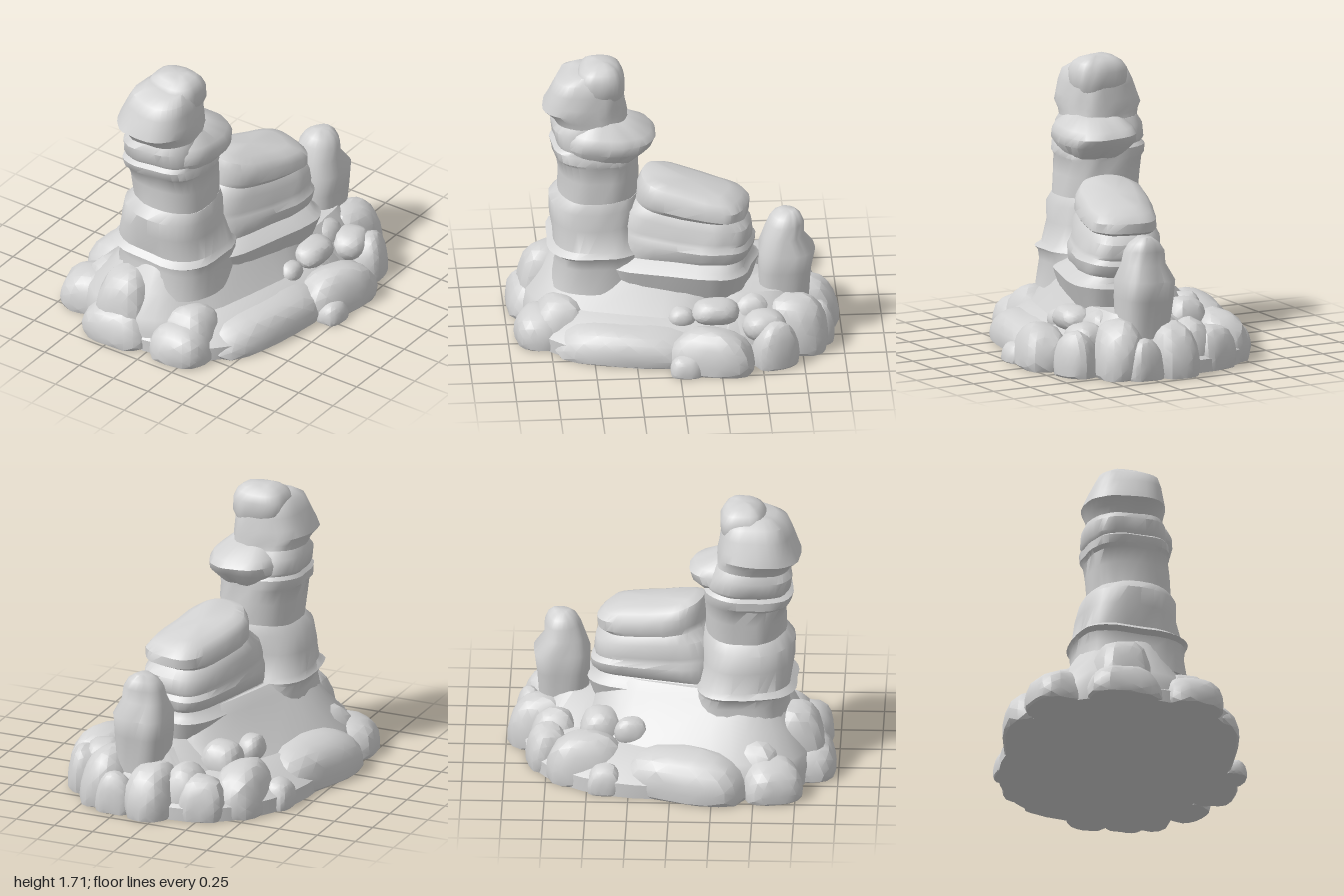
import * as THREE from 'three';
import { toCreasedNormals } from 'three/addons/utils/BufferGeometryUtils.js';

const stone = new THREE.MeshStandardMaterial({ color: 0xd2d2d2 });
stone.name = 'stone';

const signedPow = (v, p) => Math.sign(v) * Math.abs(v) ** p;
// Smooth, repeatable unevenness
const rough = (x, y, z) =>
  0.5 * Math.sin(5 * x + 5 * y + 1.3) + 0.5 * Math.sin(4 * z - 7 * y + 3 * x) + 0.25 * Math.sin(9 * z + 8 * x + 11 * y);

function addRock(group, name, geometry, crease = 0.7) {
  const mesh = new THREE.Mesh(toCreasedNormals(geometry, crease), stone);
  mesh.name = name;
  group.add(mesh);
  return mesh;
}

// Stacked rounded-box rings; each row is [y, xMin, xMax, zMin, zMax]
function strata(rows, power = 2.8, bump = 0.01, slopeAt = () => 0) {
  const sides = 32, pos = [], index = [];
  for (const [y, x0, x1, z0, z1] of rows) {
    for (let j = 0; j < sides; j++) {
      const t = (j / sides) * Math.PI * 2;
      const c = signedPow(Math.cos(t), 2 / power), s = signedPow(Math.sin(t), 2 / power);
      const n = bump * rough(c, y * 1.5, s);
      const z = (z0 + z1) / 2 + s * ((z1 - z0) / 2 + n);
      const lift = y > 0.02 ? slopeAt(y) * z + bump * 0.8 * Math.sin(t * 2 + y * 5) : 0;
      pos.push((x0 + x1) / 2 + c * ((x1 - x0) / 2 + n), y + lift, z);
    }
  }
  const last = (rows.length - 1) * sides;
  for (let i = 0; i < rows.length - 1; i++)
    for (let j = 0; j < sides; j++) {
      const a = i * sides + j, b = i * sides + (j + 1) % sides;
      index.push(a, a + sides, b, b, a + sides, b + sides);
    }
  for (const [y, x0, x1, z0, z1] of [rows[0], rows[rows.length - 1]]) {
    const zc = (z0 + z1) / 2;
    pos.push((x0 + x1) / 2, y + slopeAt(y) * zc, zc);
  }
  const bottom = rows.length * sides;
  for (let j = 0; j < sides; j++) {
    const k = (j + 1) % sides;
    index.push(bottom, j, k, bottom + 1, last + k, last + j);
  }
  const g = new THREE.BufferGeometry();
  g.setAttribute('position', new THREE.Float32BufferAttribute(pos, 3));
  g.setIndex(index);
  return g;
}

// Chunky boulder, narrower upwards and flattened where it meets the ground
function boulder(x, z, rx, rz, top, turn = 0, low = -0.5 * top) {
  const g = new THREE.IcosahedronGeometry(1, 3), p = g.attributes.position;
  const cy = (low + top) / 2, ry = (top - low) / 2;
  const v = new THREE.Vector3();
  for (let i = 0; i < p.count; i++) {
    v.fromBufferAttribute(p, i);
    const l = (Math.abs(v.x) ** 2.6 + Math.abs(v.y) ** 2.6 + Math.abs(v.z) ** 2.6) ** (-1 / 2.6);
    const k = l * (1 + 0.04 * rough(v.x + x * 3, v.y * 0.4, v.z + z * 3));
    const taper = 1 - 0.14 * Math.max(0, v.y);
    const a = v.x * rx * k * taper, b = v.z * rz * k * taper;
    p.setXYZ(i, x + a * Math.cos(turn) + b * Math.sin(turn),
      Math.max(0, cy + v.y * ry * k), z - a * Math.sin(turn) + b * Math.cos(turn));
  }
  return g;
}

export function createModel() {
  const model = new THREE.Group();
  model.name = 'rockFormation';

  // Ground the boulders sit in
  addRock(model, 'groundSlab', strata([
    [0, -0.7, 0.64, -0.88, 0.9], [0.08, -0.7, 0.64, -0.88, 0.9], [0.22, -0.5, 0.42, -0.7, 0.74],
  ], 2.3));
  addRock(model, 'backMound', strata([
    [0, -0.3, 0.55, -0.88, -0.1], [0.15, -0.28, 0.53, -0.86, -0.1], [0.35, -0.02, 0.36, -0.72, -0.1],
  ], 2.5));

  // Sloping foot shared by the tower and the ridge
  const skirt = addRock(model, 'slopingFoot', strata([
    [0, -0.6, 0.5, -0.72, 0.76], [0.12, -0.58, 0.48, -0.7, 0.76], [0.2, -0.53, 0.43, -0.67, 0.74],
    [0.34, -0.38, 0.33, -0.62, 0.64], [0.47, -0.29, 0.27, -0.58, 0.57], [0.53, -0.23, 0.23, -0.54, 0.52],
  ]));
  skirt.position.set(-0.04, 0, 0.15);
  skirt.rotation.y = -0.3;

  // Long layered ridge whose layers tilt more towards the top
  const ridge = addRock(model, 'layeredRidge', strata([
    [0.3, -0.27, 0.25, -0.42, 0.42], [0.47, -0.31, 0.31, -0.46, 0.42], [0.495, -0.28, 0.28, -0.43, 0.4],
    [0.53, -0.25, 0.23, -0.42, 0.36], [0.56, -0.27, 0.24, -0.44, 0.34], [0.62, -0.28, 0.25, -0.45, 0.34],
    [0.655, -0.26, 0.23, -0.43, 0.34], [0.68, -0.26, 0.22, -0.44, 0.34], [0.77, -0.26, 0.21, -0.43, 0.31],
    [0.82, -0.23, 0.18, -0.38, 0.25], [0.85, -0.24, 0.2, -0.42, 0.24], [0.92, -0.24, 0.19, -0.42, 0.24],
    [0.965, -0.21, 0.16, -0.38, 0.22], [0.99, -0.15, 0.1, -0.3, 0.17],
  ], 3.4, 0.01, (y) => Math.max(0, 0.46 * (y - 0.52))));
  ridge.position.set(0.06, 0, -0.03);
  ridge.rotation.y = -0.3;

  // Tall tower: base, then waist, then head
  addRock(model, 'towerBase', strata([
    [0.3, -0.46, 0.24, 0.1, 0.75], [0.46, -0.43, 0.23, 0.12, 0.71], [0.52, -0.44, 0.24, 0.14, 0.72],
    [0.54, -0.46, 0.25, 0.14, 0.76], [0.57, -0.43, 0.22, 0.16, 0.72], [0.7, -0.41, 0.18, 0.18, 0.73],
    [0.81, -0.39, 0.17, 0.18, 0.73], [0.87, -0.34, 0.14, 0.2, 0.68],
  ], 2.6));
  addRock(model, 'towerWaist', strata([
    [0.85, -0.34, 0.14, 0.2, 0.68], [1.0, -0.36, 0.13, 0.2, 0.68], [1.09, -0.37, 0.12, 0.2, 0.7],
    [1.11, -0.39, 0.13, 0.2, 0.72], [1.16, -0.39, 0.12, 0.2, 0.73], [1.18, -0.37, 0.11, 0.22, 0.7],
    [1.2, -0.385, 0.11, 0.22, 0.71], [1.28, -0.385, 0.1, 0.24, 0.72], [1.33, -0.355, 0.08, 0.26, 0.69],
  ], 2.6));
  addRock(model, 'towerHead', strata([
    [1.31, -0.355, 0.08, 0.26, 0.69], [1.36, -0.37, 0.08, 0.27, 0.72], [1.4, -0.4, 0.085, 0.27, 0.77],
    [1.45, -0.38, 0.08, 0.28, 0.75], [1.53, -0.345, 0.07, 0.29, 0.72], [1.6, -0.31, 0.05, 0.31, 0.69],
    [1.64, -0.25, 0.01, 0.34, 0.62],
  ], 2.6));
  // Ledge hanging over the back of the tower
  addRock(model, 'overhangLedge', strata([
    [1.1, -0.22, 0.09, 0.22, 0.62], [1.2, -0.29, 0.17, 0.12, 0.66], [1.25, -0.28, 0.17, 0.1, 0.65],
    [1.29, -0.26, 0.15, 0.13, 0.63], [1.36, -0.18, 0.06, 0.28, 0.55],
  ], 2.4));
  addRock(model, 'towerCap', strata([
    [1.48, -0.24, 0.04, 0.31, 0.53], [1.54, -0.28, 0.065, 0.285, 0.56], [1.62, -0.28, 0.06, 0.285, 0.57],
    [1.665, -0.25, 0.035, 0.305, 0.55], [1.69, -0.21, 0.0, 0.33, 0.52], [1.705, -0.16, -0.05, 0.37, 0.48],
  ], 2.7, 0.006), 0.9);

  // Small spire at the back
  addRock(model, 'backSpire', strata([
    [0.2, 0.03, 0.33, -0.8, -0.51], [0.45, 0.01, 0.34, -0.82, -0.5], [0.57, 0.01, 0.35, -0.84, -0.5],
    [0.66, 0.05, 0.31, -0.77, -0.53], [0.74, 0.06, 0.3, -0.77, -0.56], [0.79, 0.09, 0.27, -0.75, -0.59],
    [0.82, 0.13, 0.23, -0.72, -0.63],
  ], 2.6, 0.007), 0.9);

  // Boulders: x, z, half width, half depth, top, turn, bottom
  const frontBoulders = [
    [-0.58, 0.6, 0.2, 0.19, 0.23, 0.3], [-0.25, 0.82, 0.23, 0.17, 0.22], [-0.24, 0.74, 0.19, 0.19, 0.43],
    [-0.45, 0.47, 0.19, 0.25, 0.31, -0.5], [0.18, 0.8, 0.19, 0.16, 0.21], [0.17, 0.68, 0.18, 0.18, 0.28],
  ];
  const sideBoulders = [
    [-0.57, 0.09, 0.2, 0.4, 0.27, -0.3], [0.44, 0.27, 0.19, 0.46, 0.21, -0.18],
    [0.62, -0.2, 0.155, 0.26, 0.25, -0.3], [0.7, -0.04, 0.085, 0.1, 0.12], [-0.59, -0.39, 0.09, 0.11, 0.17],
  ];
  const backBoulders = [
    [0.59, -0.58, 0.11, 0.14, 0.27, 0.4], [0.37, -0.7, 0.16, 0.21, 0.34, -0.2], [0.28, -0.86, 0.12, 0.09, 0.24],
    [0.06, -0.78, 0.16, 0.21, 0.31], [-0.24, -0.74, 0.15, 0.13, 0.26, 0.3], [-0.12, -0.7, 0.14, 0.16, 0.3],
    [-0.4, -0.5, 0.17, 0.25, 0.29, 0.1],
  ];
  const perchedBoulders = [
    [0.5, -0.52, 0.11, 0.13, 0.3, 0.2, 0.12], [0.43, -0.23, 0.1, 0.14, 0.35, 0, 0.2],
    [0.4, -0.03, 0.07, 0.08, 0.29, 0, 0.16], [-0.34, -0.24, 0.08, 0.1, 0.36, 0, 0.18],
    [-0.23, -0.42, 0.13, 0.13, 0.37, 0, 0.1], [0.36, -0.45, 0.1, 0.12, 0.35, 0, 0.1],
  ];
  for (const [name, list] of Object.entries({ frontBoulders, sideBoulders, backBoulders, perchedBoulders })) {
    const cluster = new THREE.Group();
    cluster.name = name;
    list.forEach((b, i) => addRock(cluster, `boulder${i + 1}`, boulder(...b), 0.4));
    model.add(cluster);
  }

  return model;
}
